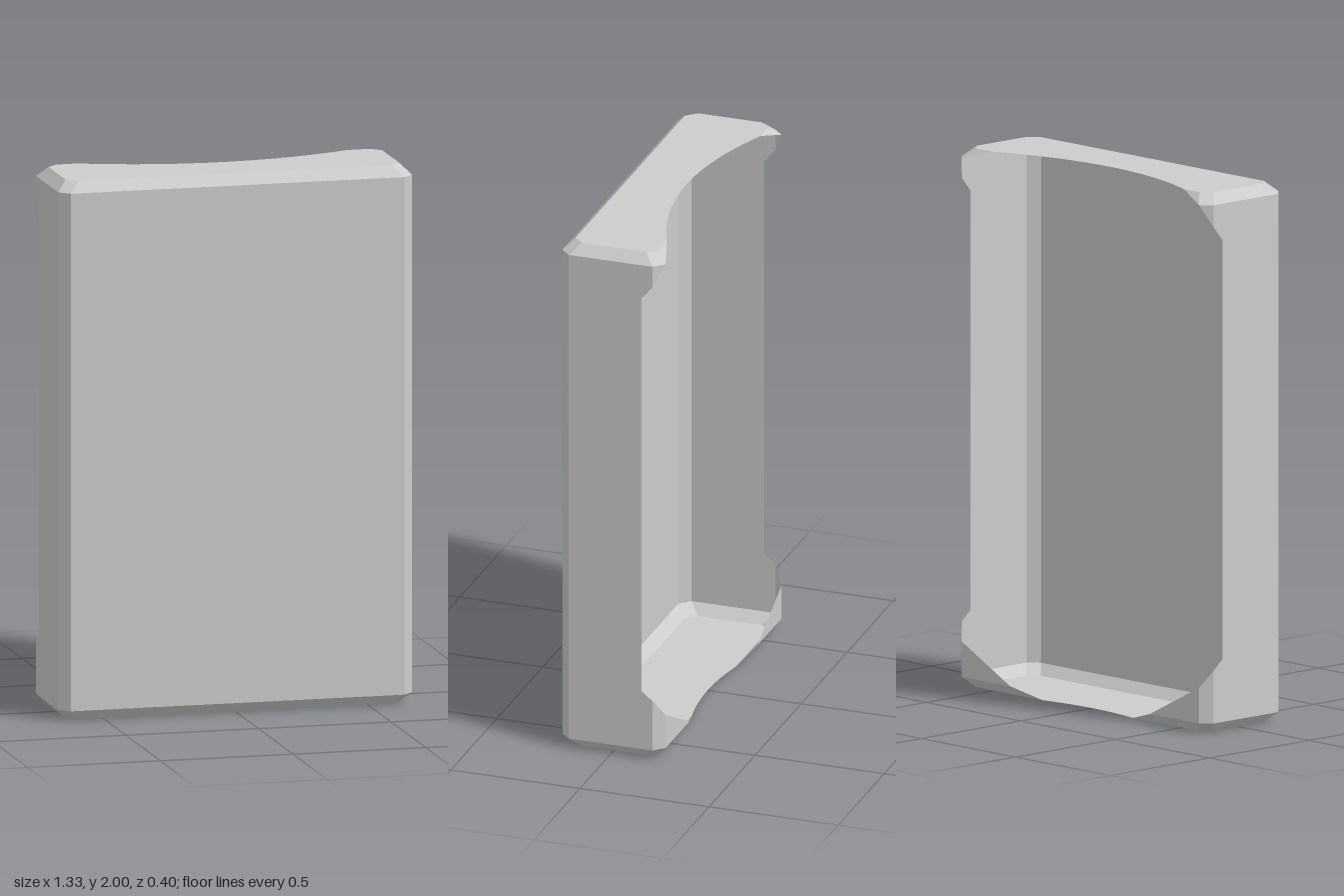
import * as THREE from 'three';

// Half width, height, half depth, chamfer
const W = 0.667, H = 2, D = 0.2, C = 0.038;
const X1 = W - C, X2 = W - 2 * C, Z1 = D - C, Z2 = D - 2 * C;
const LOW = C, HIGH = H - C;

// Flat polygon from a loop of [x, y, z] corners, wound to face outward
function panelGeometry(loop) {
  const pts = loop.map((p) => new THREE.Vector3(...p));
  const normal = new THREE.Vector3();
  const mid = new THREE.Vector3();
  pts.forEach((p, i) => {
    normal.add(new THREE.Vector3().crossVectors(p, pts[(i + 1) % pts.length]));
    mid.addScaledVector(p, 1 / pts.length);
  });
  normal.normalize();
  if (normal.dot(mid.clone().sub(new THREE.Vector3(0, H / 2, 0))) < 0) normal.negate();
  const u = new THREE.Vector3(Math.abs(normal.x) > 0.6 ? 0 : 1, 0, Math.abs(normal.x) > 0.6 ? 1 : 0);
  u.addScaledVector(normal, -u.dot(normal)).normalize();
  const v = new THREE.Vector3().crossVectors(normal, u);
  const flat = pts.map((p) => new THREE.Vector2(p.dot(u), p.dot(v)));
  const position = [];
  for (const [a, b, c] of THREE.ShapeUtils.triangulateShape(flat, [])) {
    const area = flat[b].clone().sub(flat[a]).cross(flat[c].clone().sub(flat[a]));
    for (const i of area > 0 ? [a, b, c] : [a, c, b]) position.push(...pts[i].toArray());
  }
  const geometry = new THREE.BufferGeometry();
  geometry.setAttribute('position', new THREE.Float32BufferAttribute(position, 3));
  geometry.computeVertexNormals();
  return geometry;
}

export function createModel() {
  const group = new THREE.Group();
  const grey = new THREE.MeshStandardMaterial({ color: 0xcccccc, side: THREE.DoubleSide });
  grey.name = 'light grey';

  const panel = (name, loop) => {
    const mesh = new THREE.Mesh(panelGeometry(loop), grey);
    mesh.name = name;
    group.add(mesh);
  };
  const pair = (name, loop) => {
    panel(name + 'Left', loop);
    panel(name + 'Right', loop.map(([x, y, z]) => [-x, y, z]));
  };

  // Broad front
  panel('frontPanel', [[-X1, LOW, D], [X1, LOW, D], [X1, HIGH, D], [-X1, HIGH, D]]);

  // Scooped end caps and their chamfers
  const ends = [
    { name: 'top', y: H, edge: HIGH, dip: -0.055, reach: 0.51, corner: X1 },
    { name: 'bottom', y: 0, edge: LOW, dip: -0.1375, reach: 0.24, corner: 0.37 },
  ];
  for (const { name, y, edge, dip, reach, corner } of ends) {
    const scoop = [];
    for (let i = -12; i <= 12; i++) {
      const t = i / 12;
      scoop.push([t * reach, y, dip - (Z1 + dip) * t * t]);
    }
    panel(name + 'Cap', [
      [-X2, y, -Z1], ...scoop, [X2, y, -Z1], [X1, y, -Z2],
      [X1, y, Z2], [X2, y, Z1], [-X2, y, Z1], [-X1, y, Z2], [-X1, y, -Z2],
    ]);
    panel(name + 'FrontChamfer', [[-X1, edge, D], [X1, edge, D], [X2, y, Z1], [-X2, y, Z1]]);
    pair(name + 'SideChamfer', [[W, edge, Z1], [W, edge, -Z1], [X1, y, -Z2], [X1, y, Z2]]);
    for (const s of [1, -1]) {
      pair(name + (s > 0 ? 'Front' : 'Back') + 'Corner',
        [[W, edge, s * Z1], [X1, edge, s * D], [X2, y, s * Z1], [X1, y, s * Z2]]);
    }
    // Remnant of the rear chamfer beside the scoop
    const rear = [[X1, edge, -D], [X2, y, -Z1], [reach, y, -Z1]];
    if (corner < X1) rear.push([corner, edge, -D]);
    pair(name + 'RearChamfer', rear);
  }

  // Side walls with a notched rear edge
  pair('sideWall', [
    [W, LOW, Z1], [W, HIGH, Z1], [W, HIGH, -Z1], [W, 1.88, -Z1], [W, 1.828, -0.119],
    [W, 0.27, -0.119], [W, 0.234, -Z1], [W, LOW, -Z1],
  ]);
  pair('frontEdgeChamfer', [[X1, LOW, D], [W, LOW, Z1], [W, HIGH, Z1], [X1, HIGH, D]]);

  // Small pieces left at the rear corners
  pair('upperRearEdge', [[X1, HIGH, -D], [W, HIGH, -Z1], [W, 1.88, -Z1]]);
  pair('lowerRearEdge', [[X1, LOW, -D], [W, LOW, -Z1], [W, 0.234, -Z1], [X1, 0.17, -D]]);
  pair('lowerRearCorner', [[0.37, LOW, -D], [X1, LOW, -D], [X1, 0.17, -D]]);

  return group;
}
